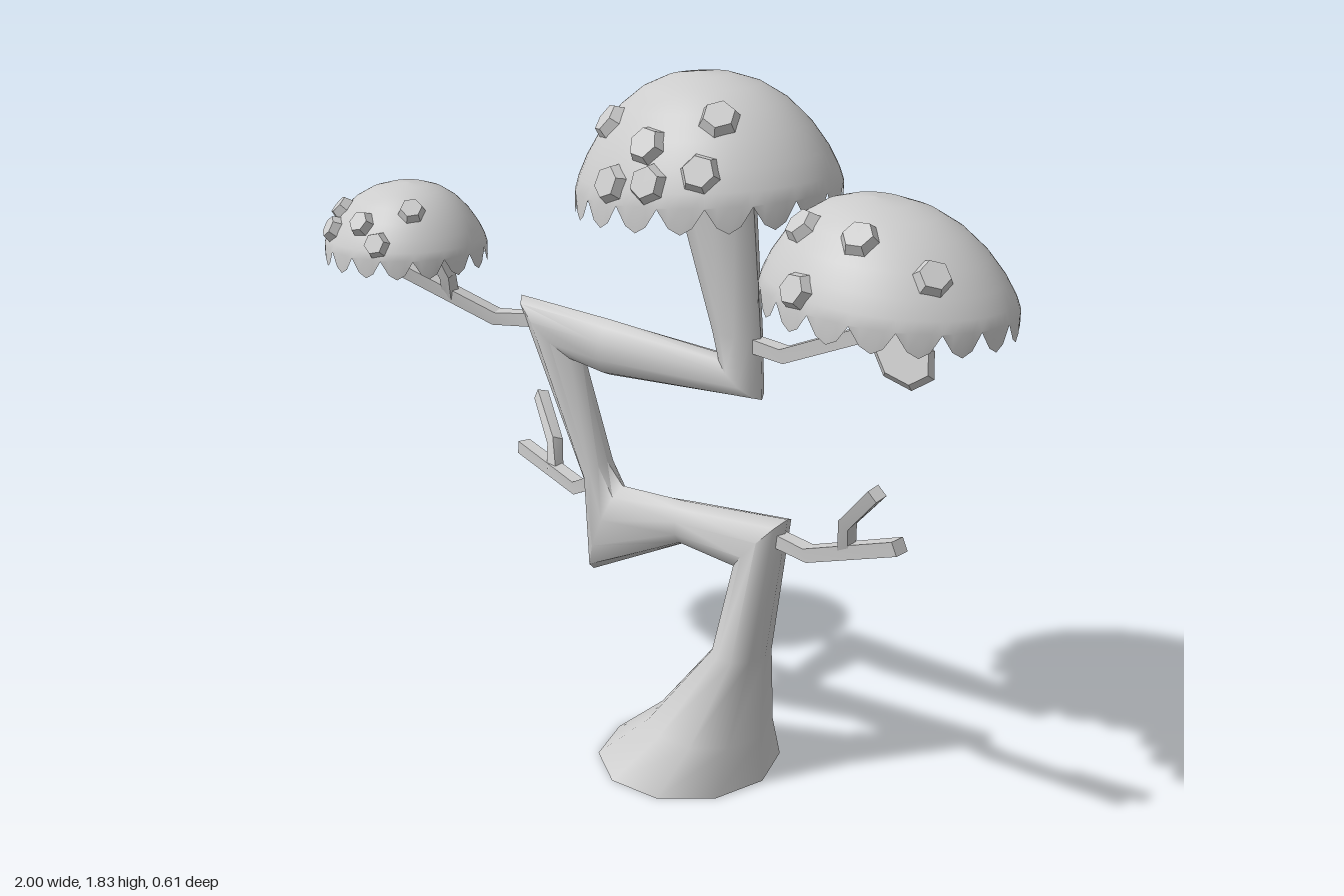
import * as THREE from 'three';
import { toCreasedNormals } from 'three/addons/utils/BufferGeometryUtils.js';

const V = (x, y, z) => new THREE.Vector3(x, y, z);

// Skin a list of equal-sized rings; optionally close both ends.
function loft(rings, crease, closed = true) {
  const n = rings[0].length, pos = [], idx = [];
  rings.forEach(r => r.forEach(p => pos.push(p.x, p.y, p.z)));
  for (let i = 0; i < rings.length - 1; i++) {
    for (let j = 0; j < n; j++) {
      const k = (j + 1) % n, a = i * n + j, b = i * n + k;
      idx.push(a, b, b + n, a, b + n, a + n);
    }
  }
  if (closed) {
    const e = (rings.length - 1) * n;
    for (let j = 1; j < n - 1; j++) idx.push(0, j + 1, j, e, e + j, e + j + 1);
  }
  const g = new THREE.BufferGeometry();
  g.setAttribute('position', new THREE.Float32BufferAttribute(pos, 3));
  g.setIndex(idx);
  g.computeVertexNormals();
  return crease === null ? g : toCreasedNormals(g, crease);
}

export function createModel() {
  const tree = new THREE.Group();
  tree.name = 'mushroomTree';
  const grey = new THREE.MeshStandardMaterial({ color: 0xcccccc, side: THREE.DoubleSide });
  grey.name = 'plain grey';
  const add = (name, geometry, parent = tree) => {
    const m = new THREE.Mesh(geometry, grey);
    m.name = name;
    parent.add(m);
    return m;
  };

  // Zigzag trunk: right edge x, y, left edge x, y, centre z, half depth
  const sections = [
    [0.335, 0, -0.14, 0, -0.03, 0.25],
    [0.32, 0.12, 0, 0.12, -0.04, 0.17],
    [0.325, 0.35, 0.18, 0.35, -0.045, 0.085],
    [0.38, 0.745, 0.23, 0.58, -0.05, 0.065],
    [0.07, 0.714, 0.07, 0.6, -0.05, 0.055],
    [-0.14, 0.705, -0.24, 0.44, -0.05, 0.052],
    [-0.19, 0.76, -0.25, 0.7, -0.05, 0.052],
    [-0.27, 1.02, -0.475, 1.165, -0.05, 0.05],
    [-0.18, 1.005, -0.18, 1.155, -0.05, 0.05],
    [0.295, 1.04, 0.17, 1.135, -0.052, 0.045],
    [0.288, 1.2, 0.15, 1.2, -0.052, 0.048],
    [0.258, 1.57, 0.04, 1.54, -0.05, 0.075],
  ];
  const SIDES = 10;
  add('trunk', loft(sections.map(([x1, y1, x2, y2, z, d]) =>
    Array.from({ length: SIDES }, (_, j) => {
      const a = j / SIDES * Math.PI * 2, c = Math.cos(a) / 2;
      return V((x1 + x2) / 2 + (x2 - x1) * c, (y1 + y2) / 2 + (y2 - y1) * c, z + d * Math.sin(a));
    })), 0.85));

  // Square twigs following a bent path
  function twig(name, path, parent, w = 0.036) {
    const p = path.map(q => V(...q));
    const rings = p.map((q, i) => {
      const t = p[Math.min(i + 1, p.length - 1)].clone().sub(p[Math.max(i - 1, 0)]).normalize();
      const b = V(0, 0, 1).addScaledVector(t, -t.z).normalize();
      const a = b.clone().cross(t);
      return [0, 1, 2, 3].map(k => {
        const ang = Math.PI / 4 + k * Math.PI / 2, r = w * 0.707;
        return q.clone().addScaledVector(a, r * Math.cos(ang)).addScaledVector(b, r * Math.sin(ang));
      });
    });
    add(name, loft(rings, 0.4), parent);
  }
  const branches = {
    lowerRightBranch: [
      [[-0.23, 0.695, -0.07], [-0.34, 0.632, -0.11], [-0.63, 0.648, -0.22]],
      [[-0.46, 0.64, -0.155], [-0.48, 0.71, -0.18], [-0.63, 0.78, -0.3]]],
    lowerLeftBranch: [
      [[0.35, 0.69, -0.045], [0.46, 0.682, -0.03], [0.77, 0.82, 0.07]],
      [[0.59, 0.74, 0.01], [0.615, 0.835, 0.05], [0.74, 0.965, 0.13]]],
    upperLeftBranch: [
      [[0.26, 1.18, -0.05], [0.37, 1.175, -0.04], [0.69, 1.325, 0.03]],
      [[0.52, 1.25, -0.01], [0.53, 1.35, 0.01], [0.6, 1.45, 0.02]]],
    upperRightBranch: [
      [[-0.4, 1.115, -0.04], [-0.54, 1.1, -0.02], [-0.78, 1.21, 0.07]],
      [[-0.66, 1.15, 0.025], [-0.645, 1.21, 0.05], [-0.7, 1.34, 0.08]]],
  };
  for (const [name, [main, fork]] of Object.entries(branches)) {
    const g = new THREE.Group();
    g.name = name;
    tree.add(g);
    twig('twig', main, g);
    twig('forkTwig', fork, g, 0.032);
  }

  // Hollow caps with a scalloped rim and raised spots
  function cap(name, { c, rx, rz, h, ox, tilt, teeth, drop, spotR, spots }) {
    const g = new THREE.Group();
    g.name = name;
    tree.add(g);
    const at = (nx, nz) => {
      const r = Math.min(Math.hypot(nx, nz), 1);
      return V(c[0] + rx * nx + ox * (1 - r),
        c[1] + tilt * nx + h * Math.pow(1 - Math.pow(r, 2.4), 0.8), c[2] + rz * nz);
    };
    const n = teeth * 4, rings = [];
    const ring = f => Array.from({ length: n }, (_, j) => f(-j / n * Math.PI * 2, j));
    for (const r of [1, 0.97, 0.9, 0.78, 0.62, 0.44, 0.24, 0.001]) {
      rings.push(ring(a => at(r * Math.cos(a), r * Math.sin(a))));
    }
    // Teeth hang below the rim
    rings.unshift(ring((a, j) => {
      const p = at(Math.cos(a), Math.sin(a));
      p.y -= drop * [0.05, 0.75, 1, 0.75][j % 4];
      return p;
    }));
    add('capShell', loft(rings, null, false), g);
    spots.forEach(([nx, nz], i) => {
      const p = at(nx, nz), e = 0.02;
      const dx = at(nx + e, nz).sub(at(nx - e, nz)), dz = at(nx, nz + e).sub(at(nx, nz - e));
      const normal = dz.cross(dx).normalize();
      const s = add('spot', toCreasedNormals(new THREE.CylinderGeometry(spotR * 0.7, spotR, 0.035, 6), 0.4), g);
      s.quaternion.setFromUnitVectors(V(0, 1, 0), normal);
      s.rotateY(i * 0.7);
      s.position.copy(p).addScaledVector(normal, 0.002);
    });
  }
  cap('topCap', {
    c: [0.145, 1.565, -0.025], rx: 0.338, rz: 0.283, h: 0.265, ox: -0.035, tilt: 0.03,
    teeth: 18, drop: 0.062, spotR: 0.054,
    spots: [[-0.49, 0.52], [-0.25, 0.92], [0, 0.8], [0.08, 0.94], [0.43, 0.8], [0.43, 0.5]],
  });
  cap('leftCap', {
    c: [0.693, 1.41, 0.042], rx: 0.306, rz: 0.252, h: 0.215, ox: -0.04, tilt: -0.012,
    teeth: 18, drop: 0.055, spotR: 0.05,
    spots: [[-0.45, 0.48], [0.1, 0.6], [-0.3, 0.9], [0.63, 0.5]],
  });
  cap('rightCap', {
    c: [-0.773, 1.288, 0.07], rx: 0.227, rz: 0.2, h: 0.162, ox: 0.02, tilt: 0.005,
    teeth: 16, drop: 0.05, spotR: 0.04,
    spots: [[-0.57, 0.5], [0, 0.8], [0.47, 0.45], [0.3, 0.88], [-0.5, 0.75]],
  });

  // Small plate hanging from the end of the upper left branch
  const leaf = add('hangingPlate', toCreasedNormals(new THREE.CylinderGeometry(0.055, 0.065, 0.02, 7), 0.4));
  leaf.scale.set(1.35, 1, 1);
  leaf.rotation.set(1.1, 0, -0.65, 'ZXY');
  leaf.position.set(0.74, 1.27, 0.04);

  return tree;
}
